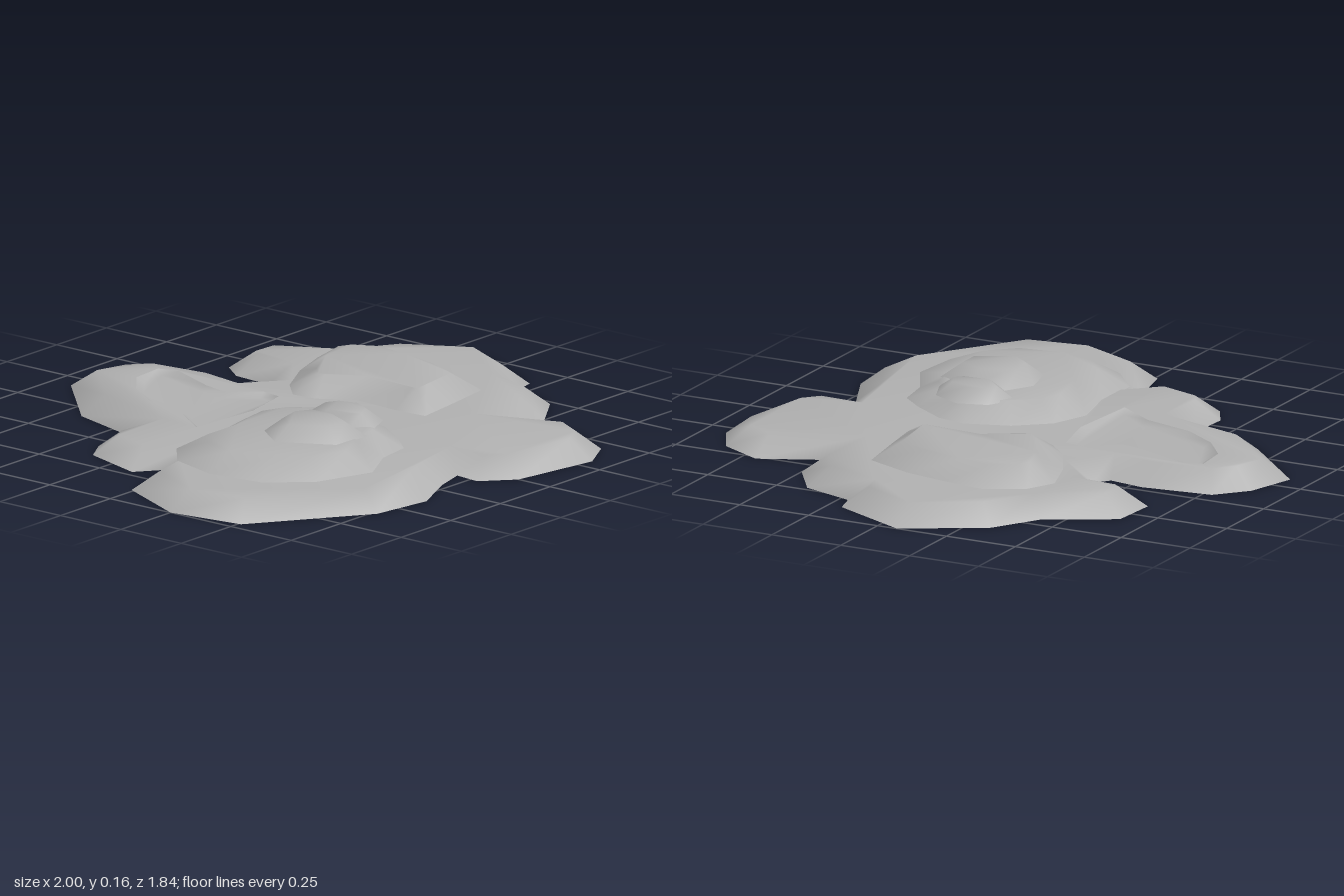
import * as THREE from 'three';

const rock = new THREE.MeshStandardMaterial({ color: 0xb2b2b2 });
rock.name = 'grey';

// Outlines are [x, z] points, clockwise seen from above.
const BASE = [[-0.08, -0.92], [0.09, -0.87], [0.19, -0.78], [0.22, -0.54], [0.2, -0.42], [0.25, -0.38],
  [0.33, -0.44], [0.34, -0.58], [0.4, -0.66], [0.57, -0.65], [0.69, -0.43], [0.85, -0.33], [1, -0.07],
  [0.87, 0.2], [0.79, 0.22], [0.73, 0.4], [0.58, 0.5], [0.42, 0.48], [0.52, 0.7], [0.44, 0.85],
  [0.31, 0.92], [0, 0.87], [-0.1, 0.78], [-0.09, 0.69], [-0.2, 0.72], [-0.38, 0.8], [-0.59, 0.77],
  [-0.96, 0.51], [-1, 0.25], [-0.88, -0.01], [-0.7, -0.05], [-0.63, -0.07], [-0.72, -0.14],
  [-0.65, -0.36], [-0.56, -0.41], [-0.41, -0.4], [-0.33, -0.67]];
const HOLLOW = [[-0.36, -0.17], [-0.27, -0.3], [-0.22, -0.48], [-0.14, -0.6], [-0.04, -0.68], [0.08, -0.69],
  [0.1, -0.62], [0.03, -0.45], [0.01, -0.36], [0.09, -0.26], [0.08, -0.19], [-0.1, -0.15]];
const LEFT_HUMP = [[0.12, -0.17], [0.2, -0.25], [0.35, -0.33], [0.5, -0.38], [0.6, -0.33], [0.67, -0.2],
  [0.65, -0.05], [0.62, 0.1], [0.55, 0.27], [0.35, 0.3], [0.2, 0.32], [0.19, 0.2], [0.2, 0.03], [0.13, -0.08]];
const RIGHT_HUMP = [[-0.58, -0.07], [-0.4, -0.07], [-0.22, -0.11], [-0.09, -0.06], [0, 0.05], [0.05, 0.2],
  [0.03, 0.3], [-0.05, 0.42], [-0.12, 0.5], [-0.25, 0.52], [-0.4, 0.6], [-0.6, 0.53], [-0.72, 0.4],
  [-0.75, 0.2], [-0.7, 0.03]];
const MAIN_PEAK = [[-0.48, 0.25], [-0.4, 0.14], [-0.27, 0.11], [-0.17, 0.17], [-0.17, 0.3], [-0.23, 0.43], [-0.38, 0.43]];
const SMALL_PEAK = [[-0.22, 0.2], [-0.12, 0.1], [-0.03, 0.15], [0, 0.25], [-0.05, 0.35], [-0.15, 0.39], [-0.21, 0.33]];

// Move every corner inward by d along its mitre.
function inset(points, d) {
  const n = points.length;
  return points.map(([x, z], i) => {
    const [px, pz] = points[(i + n - 1) % n], [qx, qz] = points[(i + 1) % n];
    const a = new THREE.Vector2(pz - z, x - px).normalize();
    const b = new THREE.Vector2(z - qz, qx - x).normalize();
    const m = a.clone().add(b).normalize();
    const len = d / Math.max(m.dot(a), 0.65);
    return [x + m.x * len, z + m.y * len];
  });
}

// Triangles filling an outline, facing up or down.
function fill(outline, holes, up) {
  const vec = (list) => list.map(([x, z]) => new THREE.Vector2(x, z));
  const all = outline.concat(...holes);
  return THREE.ShapeUtils.triangulateShape(vec(outline), holes.map(vec)).map(([a, b, c]) => {
    const [A, B, C] = [all[a], all[b], all[c]];
    const y = (B[1] - A[1]) * (C[0] - A[0]) - (B[0] - A[0]) * (C[1] - A[1]);
    return (y > 0) === up ? [a, b, c] : [a, c, b];
  });
}

function build(name, positions, faces) {
  const g = new THREE.BufferGeometry();
  g.setAttribute('position', new THREE.Float32BufferAttribute(positions.flat(), 3));
  g.setIndex(faces.flat());
  g.computeVertexNormals();
  const mesh = new THREE.Mesh(g, rock);
  mesh.name = name;
  return mesh;
}

// A soft layer: sloping rim from y0 to y1, then a cap.
function layer(name, outline, y0, y1, slope, holes = []) {
  const n = outline.length, top = inset(outline, slope);
  const positions = [
    ...outline.map(([x, z]) => [x, y0, z]),
    ...top.concat(...holes).map(([x, z]) => [x, y1, z]),
  ];
  const faces = fill(top, holes, true).map((f) => f.map((i) => i + n));
  for (let i = 0; i < n; i++) {
    const j = (i + 1) % n;
    faces.push([j, i, n + i], [j, n + i, n + j]);
  }
  return build(name, positions, faces);
}

export function createModel() {
  const group = new THREE.Group();
  group.name = 'layeredRock';
  group.add(
    layer('baseSlab', BASE, 0, 0.063, 0.08, [HOLLOW]),
    build('underside', BASE.map(([x, z]) => [x, 0, z]), fill(BASE, [], false)),
    layer('backHollow', HOLLOW, 0.063, 0.048, 0.025),
    layer('leftHump', LEFT_HUMP, 0.06, 0.12, 0.09),
    layer('rightHump', RIGHT_HUMP, 0.06, 0.118, 0.1),
    layer('mainPeak', MAIN_PEAK, 0.115, 0.162, 0.06),
    layer('smallPeak', SMALL_PEAK, 0.112, 0.152, 0.05),
  );
  return group;
}
